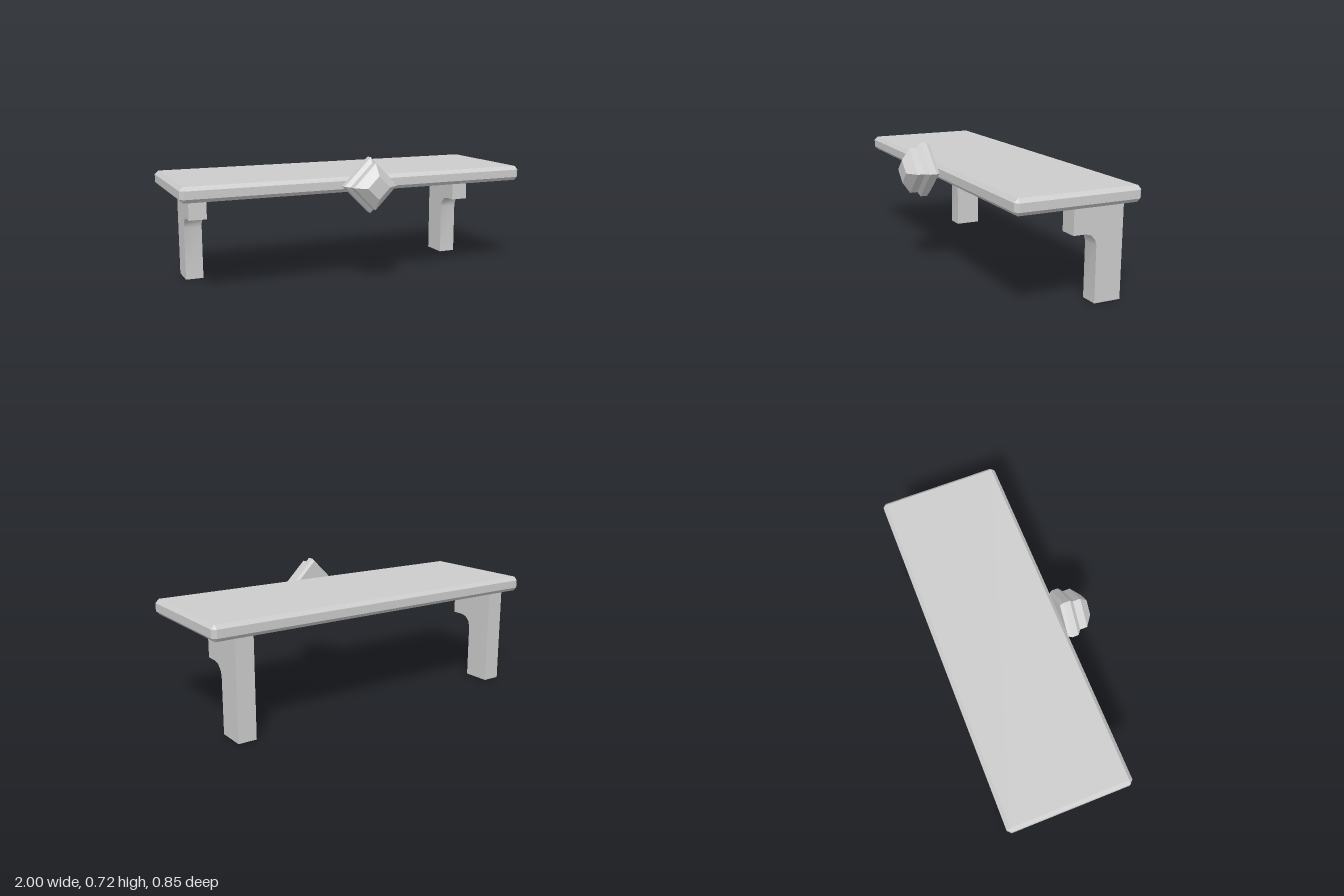
import * as THREE from 'three';
import { toCreasedNormals } from 'three/addons/utils/BufferGeometryUtils.js';
import { ConvexGeometry } from 'three/addons/geometries/ConvexGeometry.js';

// Box with every edge chamfered and every corner cut
function chamferedBox(w, h, d, c) {
  const points = [];
  for (const sx of [-1, 1]) for (const sy of [-1, 1]) for (const sz of [-1, 1]) {
    for (let axis = 0; axis < 3; axis++) {
      const half = [w / 2, h / 2, d / 2].map((v, i) => (i === axis ? v : v - c));
      points.push(new THREE.Vector3(sx * half[0], sy * half[1], sz * half[2]));
    }
  }
  return new ConvexGeometry(points);
}

// Stepped diamond lofted along z; each ring is [z, side, top, bottom]
function diamondLoft(rings) {
  const loops = rings.map(([z, side, top, bottom]) => [
    [side, 0, z], [0, top, z], [-side, 0, z], [0, -bottom, z],
  ]);
  const pos = [];
  const quad = (a, b, c, d) => pos.push(...a, ...b, ...c, ...a, ...c, ...d);
  for (let i = 0; i < loops.length - 1; i++) {
    for (let k = 0; k < 4; k++) {
      const n = (k + 1) % 4;
      quad(loops[i][k], loops[i][n], loops[i + 1][n], loops[i + 1][k]);
    }
  }
  const back = loops[0], front = loops[loops.length - 1];
  quad(back[3], back[2], back[1], back[0]);
  quad(front[0], front[1], front[2], front[3]);
  const geometry = new THREE.BufferGeometry();
  geometry.setAttribute('position', new THREE.Float32BufferAttribute(pos, 3));
  geometry.computeVertexNormals();
  return geometry;
}

export function createModel() {
  const model = new THREE.Group();
  model.name = 'shelf';
  const stone = new THREE.MeshStandardMaterial({ color: 0xcccccc });
  stone.name = 'pale grey';

  const add = (name, geometry, x, y, z) => {
    const mesh = new THREE.Mesh(geometry, stone);
    mesh.name = name;
    mesh.position.set(x, y, z);
    model.add(mesh);
  };

  // Slab
  add('slab', chamferedBox(2, 0.083, 0.688, 0.02), 0, 0.568, -0.081);

  // Bracket legs with a rounded inner corner
  const profile = new THREE.Shape();
  profile.moveTo(-0.402, 0);
  profile.lineTo(-0.25, 0);
  profile.lineTo(-0.25, 0.3);
  profile.lineTo(-0.241, 0.331);
  profile.lineTo(-0.217, 0.356);
  profile.lineTo(-0.185, 0.365);
  profile.lineTo(-0.117, 0.365);
  profile.lineTo(-0.117, 0.527);
  profile.lineTo(-0.402, 0.527);
  const width = 0.1;
  const leg = new THREE.ExtrudeGeometry(profile, { depth: width, bevelEnabled: false });
  leg.translate(0, 0, -width / 2);
  leg.rotateY(-Math.PI / 2);
  const legGeometry = toCreasedNormals(leg, 0.7);
  for (const [name, x] of [['leftLeg', 0.83], ['rightLeg', -0.83]]) add(name, legGeometry, x, 0, 0);

  // Stepped diamond ornament in front of the slab
  add('diamondOrnament', diamondLoft([
    [0.265, 0.137, 0.137, 0.125],
    [0.285, 0.15, 0.15, 0.15],
    [0.322, 0.15, 0.15, 0.15],
    [0.342, 0.124, 0.124, 0.124],
    [0.384, 0.124, 0.124, 0.124],
    [0.428, 0.063, 0.063, 0.063],
  ]), 0, 0.567, 0);

  return model;
}
